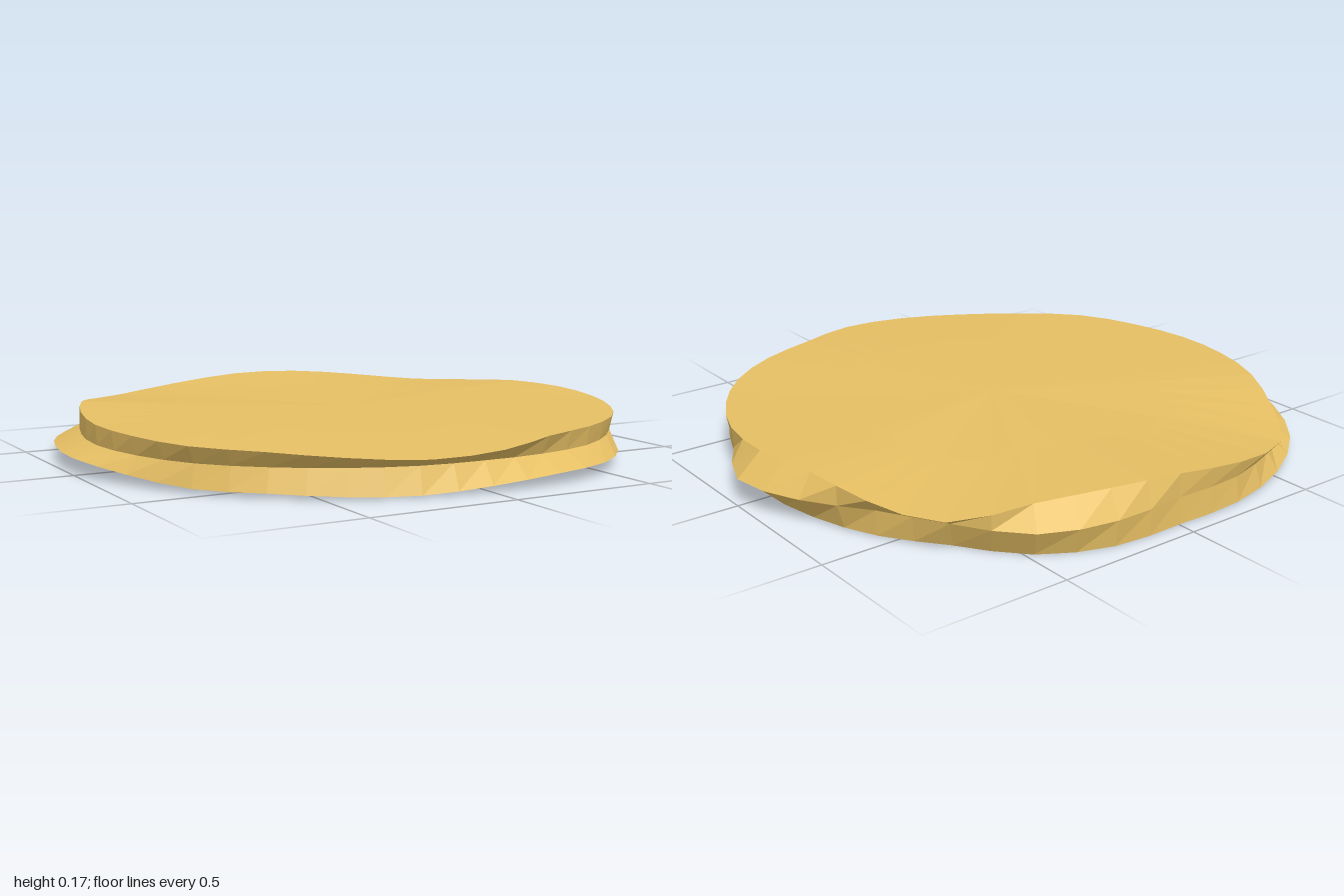
import * as THREE from 'three';

const SEGMENTS = 48;

// Rim profiles, one value every 15 degrees from +x round through +z
const RIM = {
  lowRadius: [.915, .9, .905, .93, .945, .92, .88, .87, .875, .895, .92, .95, 1, 1.005, 1.02, 1.03, 1.01, .975, .94, .96, .95, .89, .89, .895],
  lowHeight: [.03, .045, .045, .04, .04, .038, .02, .006, .008, .016, .016, .035, .055, .052, .045, .035, .018, .006, .002, 0, 0, 0, .002, .01],
  midRadius: [.995, .91, .9, .89, .88, .85, .83, .84, .85, .87, .9, .91, .92, .92, .93, .94, .97, .965, .935, .975, 1, .93, .9, .955],
  topRadius: [.91, .915, .91, .905, .89, .88, .935, .955, .925, .91, .935, .925, .925, .92, .93, .96, 1.015, .98, .935, .92, .93, 1.005, .955, .9],
  topHeight: [.165, .158, .153, .152, .152, .15, .138, .128, .133, .142, .147, .152, .157, .165, .168, .145, .125, .145, .17, .172, .155, .13, .145, .165],
};

// Smooth closed interpolation of a profile at segment i
function rim(name, i) {
  const list = RIM[name], n = list.length;
  const u = (i / SEGMENTS) * n, k = Math.floor(u), t = u - k;
  const [a, b, c, d] = [-1, 0, 1, 2].map(o => list[(k + o + n) % n]);
  return b + 0.5 * t * (c - a + t * (2 * a - 5 * b + 4 * c - d + t * (3 * (b - c) + d - a)));
}

function wornDiscGeometry() {
  // Cross-sections from the underside centre, round the wavy rim, to the upper centre
  const rings = [
    { r: () => 0, y: () => 0.015 },
    { r: i => 0.6 * rim('lowRadius', i), y: i => 0.009 + 0.3 * rim('lowHeight', i) },
    { r: i => rim('lowRadius', i), y: i => rim('lowHeight', i) },
    { r: i => rim('midRadius', i), y: () => 0.09 },
    { r: i => rim('topRadius', i), y: i => rim('topHeight', i) },
    { r: i => 0.6 * rim('topRadius', i), y: i => 0.109 + 0.3 * rim('topHeight', i) },
    { r: () => 0, y: () => 0.156 },
  ];
  const positions = [], index = [];
  for (const ring of rings) {
    for (let i = 0; i < SEGMENTS; i++) {
      const angle = (i / SEGMENTS) * Math.PI * 2, radius = ring.r(i);
      positions.push(Math.cos(angle) * radius, ring.y(i), Math.sin(angle) * radius);
    }
  }
  for (let k = 0; k < rings.length - 1; k++) {
    for (let i = 0; i < SEGMENTS; i++) {
      const j = (i + 1) % SEGMENTS;
      const a = k * SEGMENTS + i, b = k * SEGMENTS + j;
      const c = a + SEGMENTS, d = b + SEGMENTS;
      // Skip the collapsed triangles at the two centres
      if (k > 0) index.push(a, c, b);
      if (k < rings.length - 2) index.push(b, c, d);
    }
  }
  const geometry = new THREE.BufferGeometry();
  geometry.setAttribute('position', new THREE.Float32BufferAttribute(positions, 3));
  geometry.setIndex(index);
  geometry.computeVertexNormals();
  return geometry;
}

export function createModel() {
  const group = new THREE.Group();
  group.name = 'wornDisc';
  const material = new THREE.MeshStandardMaterial({ color: 0xe6bf64, flatShading: true });
  const disc = new THREE.Mesh(wornDiscGeometry(), material);
  disc.name = 'disc';
  group.add(disc);
  return group;
}
